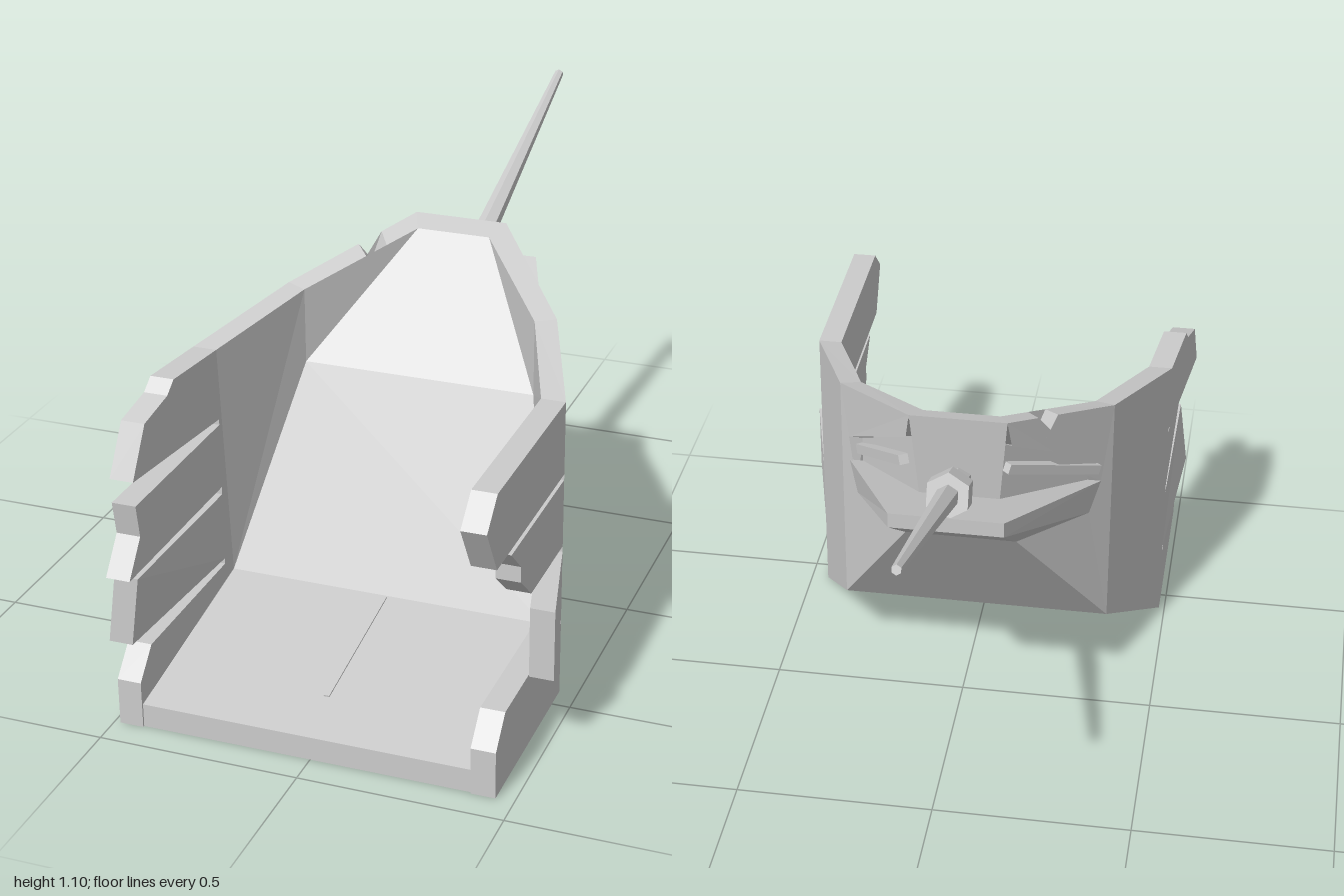
import * as THREE from 'three';

const mat = new THREE.MeshStandardMaterial({ color: 0xcccccc, flatShading: true, side: THREE.DoubleSide });

const add = (parent, name, geo) => {
  const m = new THREE.Mesh(geo, mat);
  m.name = name;
  parent.add(m);
  return m;
};

// Flat polygons, each fanned from its first corner
function facets(polys) {
  const pos = [];
  for (const p of polys)
    for (let i = 1; i < p.length - 1; i++) pos.push(...p[0], ...p[i], ...p[i + 1]);
  const g = new THREE.BufferGeometry();
  g.setAttribute('position', new THREE.Float32BufferAttribute(pos, 3));
  g.computeVertexNormals();
  return g;
}
const mirror = ([x, y, z]) => [-x, y, z];
const both = (p, q) => [p, mirror(p), mirror(q), q]; // panel across the middle
const lerp = (p, q, t, dy = 0) => p.map((v, i) => v + (q[i] - v) * t + (i === 1 ? dy : 0));

// Hull corners on the left side: capitals outside, inner ones inside
const A = [0.47, 0, 0.44], A2 = [0.47, 0.775, 0.44];
const B = [0.35, 0.19, 0.13], B2 = [0.35, 0.84, 0.13];
const C = [0.3, 0.55, 0.07], D = [0.325, 0.63, 0.1], E = [0.325, 0.7, 0.1];
const F = [0.13, 0.88, -0.16], G = [0.12, 0.95, -0.17];
const H = [0.14, 0.58, -0.13], I = [0.14, 0.75, -0.36], J = [0.14, 0.79, -0.36];
const inA = [0.41, 0.15, 0.39], inA1 = [0.41, 0.14, 0.44], inA2 = [0.41, 0.775, 0.44];
const inB = [0.3, 0.64, 0.15], inB2 = [0.3, 0.835, 0.15], inG = [0.095, 0.93, -0.11];

// One side wall with its rim; the right one has a notch in the rim
function sideWall(side) {
  const notch = side < 0 ? [[0.28, 0], [0.36, -0.06], [0.46, 0]] : [];
  const outer = [G, ...notch.map(([t, d]) => lerp(G, B2, t, d)), B2];
  const inner = [inG, ...notch.map(([t, d]) => lerp(inG, inB2, t, d)), inB2];
  const r0 = [0.29, 0.6, 0.1], r1 = [0.1, 0.7, -0.15];
  const r2 = [0.1, 0.88, -0.15], r3 = [0.29, 0.7, 0.1];
  const polys = [
    [A, B, B2, A2],
    [E, F, ...outer, B, C, D],
    [B, H, C], [C, H, I],
    [C, I, J, D],                                   // tail edge
    [r0, r1, r2, r3], [E, r3, r2, F],               // recess
    [inB, ...[...inner].reverse()],
    [inB, inB2, inA2, inA], [inA, inA2, inA1],
    [A2, B2, inB2, inA2],                           // rim
    [[0.41, 0, 0.44], A, A2, inA2],                 // wall end behind the fingers
  ];
  for (let i = 0; i < outer.length - 1; i++)
    polys.push([outer[i], inner[i], inner[i + 1], outer[i + 1]]);
  return facets(side > 0 ? polys : polys.map(p => p.map(mirror).reverse()));
}

// Finger plate: outline in (z, y), bent outwards by lean at the tip
function finger(side, pts, lean, twist = 0) {
  const g = new THREE.ExtrudeGeometry(new THREE.Shape(pts.map(p => new THREE.Vector2(...p))),
    { depth: 0.06, bevelEnabled: false });
  const p = g.attributes.position, tip = Math.max(...pts.map(q => q[0]));
  const top = Math.max(...pts.map(q => q[1]));
  for (let i = 0; i < p.count; i++) {
    const z = p.getX(i), y = p.getY(i), d = p.getZ(i);
    const out = (lean + twist * (top - y)) * (z - 0.44) / (tip - 0.44);
    p.setXYZ(i, side * (0.41 + d + out), y, z);
  }
  if (side > 0) // keep faces pointing outwards
    for (let i = 0; i < p.count; i += 3) {
      const a = [p.getX(i), p.getY(i), p.getZ(i)];
      p.setXYZ(i, p.getX(i + 2), p.getY(i + 2), p.getZ(i + 2));
      p.setXYZ(i + 2, ...a);
    }
  g.computeVertexNormals();
  return g;
}

export function createModel() {
  const root = new THREE.Group();
  root.name = 'armouredScoop';
  root.position.x = -0.015;
  const model = new THREE.Group();
  model.name = 'hull';
  root.add(model);

  add(model, 'leftWall', sideWall(1));
  add(model, 'rightWall', sideWall(-1));

  // Sloped inner back, rear rim and rear face
  add(model, 'innerBack', facets([both(inB, inG), both(inA, inB)]));
  add(model, 'rearRim', facets([both(inG, G), both(G, [0.1, 0.71, -0.15])]));

  // Underside and tail
  add(model, 'underside', facets([
    both([0.47, 0, 0.92], A), both(A, B), both(B, H), both(H, I)]));
  add(model, 'tail', facets([both(I, J), both(D, J).reverse()]));

  // Floor with a thin central rib
  add(model, 'floor', facets([
    both([0.41, 0.06, 0.92], inA).reverse(),
    both([0.41, 0, 0.92], [0.41, 0.06, 0.92]).reverse()]));
  const rib = add(model, 'floorRib', new THREE.BoxGeometry(0.014, 0.006, 0.385));
  rib.position.set(0, 0.117, 0.588);
  rib.rotation.x = Math.atan2(0.09, 0.53);

  // Fingers reaching forward, top to bottom
  const z0 = 0.44;
  const low = [[z0, 0], [0.925, 0], [0.925, 0.12], [0.86, 0.19], [z0, 0.19]];
  const fingers = [
    [1, [[z0, 0.59], [0.93, 0.59], [1, 0.71], [0.93, 0.775], [z0, 0.775]], 0],
    [1, [[z0, 0.4], [0.68, 0.4], [0.76, 0.47], [0.76, 0.51], [0.83, 0.575], [z0, 0.575]], 0],
    [1, [[z0, 0.205], [0.72, 0.205], [0.72, 0.385], [z0, 0.385]], 0.07],
    [1, low, 0],
    [-1, [[z0, 0.59], [0.82, 0.59], [0.76, 0.715], [0.66, 0.745], [0.63, 0.775], [z0, 0.775]], 0.045],
    [-1, [[z0, 0.405], [0.95, 0.405], [0.885, 0.49], [0.9, 0.575], [z0, 0.575]], 0],
    [-1, [[z0, 0.205], [0.9, 0.205], [0.9, 0.385], [z0, 0.385]], 0.005, 0.13],
    [-1, low, 0],
  ];
  for (const [side, pts, lean, twist] of fingers)
    add(model, side > 0 ? 'leftFinger' : 'rightFinger', finger(side, pts, lean, twist));

  // Rails lying in the side recesses
  for (const s of [1, -1]) {
    const a = new THREE.Vector3(s * 0.305, 0.675, 0.09), b = new THREE.Vector3(s * 0.125, 0.81, -0.15);
    const rail = add(model, 'recessRail', new THREE.BoxGeometry(0.025, 0.025, a.distanceTo(b)));
    rail.position.copy(a).lerp(b, 0.5);
    rail.lookAt(b);
  }

  // Barrel with collar, pointing up and back
  const barrel = new THREE.Group();
  barrel.name = 'barrel';
  barrel.position.set(0, 0.765, -0.15);
  barrel.rotation.x = -Math.atan2(0.845, 0.323);
  model.add(barrel);
  add(barrel, 'tube', new THREE.CylinderGeometry(0.012, 0.034, 0.905, 6)).position.y = 0.452;
  add(barrel, 'collar', new THREE.CylinderGeometry(0.058, 0.058, 0.07, 6)).position.y = 0.16;
  return root;
}
